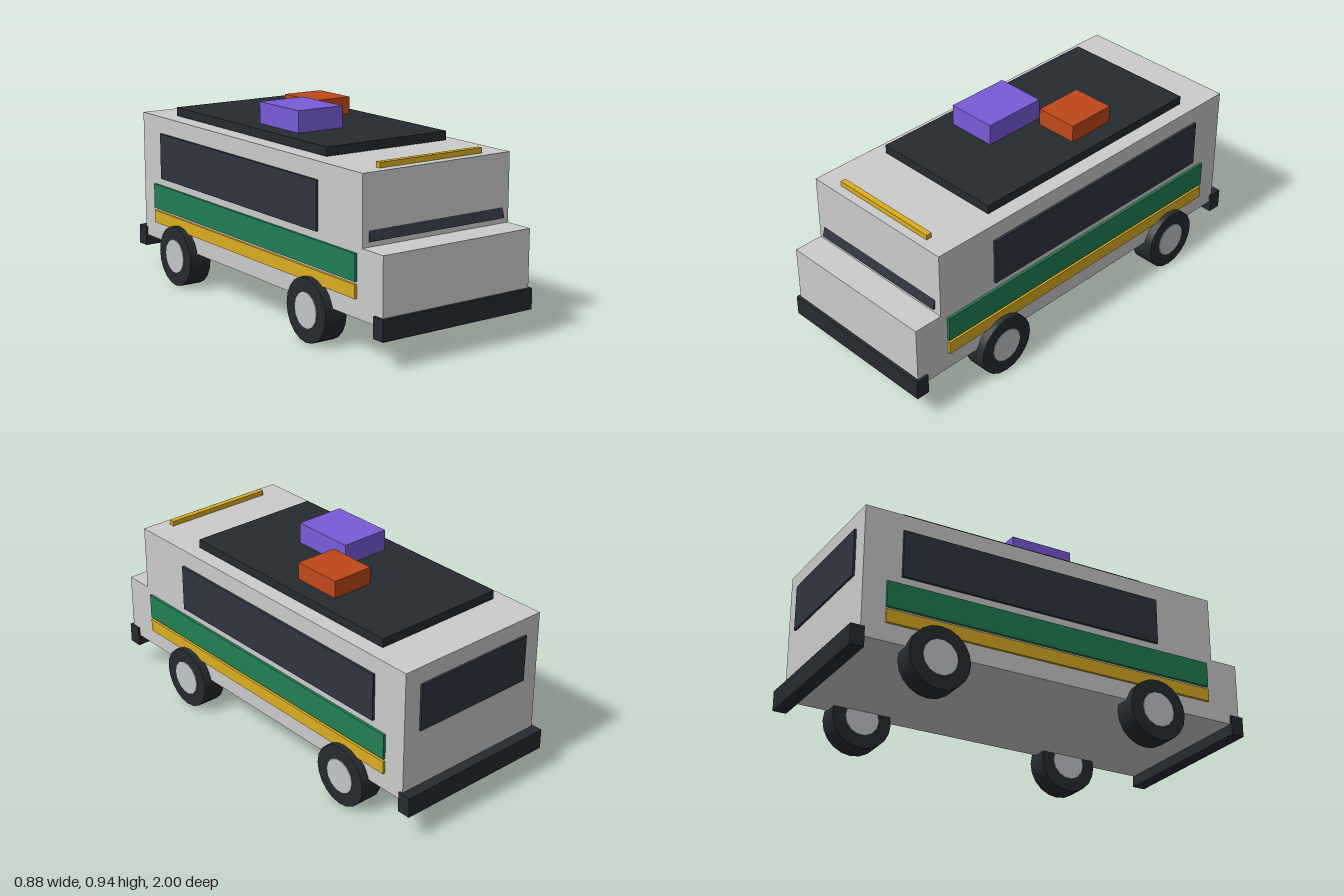
import * as THREE from 'three';

const mat = (color) => new THREE.MeshStandardMaterial({ color });
const GREY = mat(0xcccccc), DARK = mat(0x262b2f), GLASS = mat(0x2f3440);
const GREEN = mat(0x217f55), YELLOW = mat(0xdcae22), PURPLE = mat(0x7a5bd8), ORANGE = mat(0xc0481a);
const HUB = mat(0xc2c6ca);

export function createModel() {
  const van = new THREE.Group();
  van.name = 'van';

  // Box given by its extents along x, y and z
  const box = (name, material, [x0, x1], [y0, y1], [z0, z1]) => {
    const mesh = new THREE.Mesh(new THREE.BoxGeometry(x1 - x0, y1 - y0, z1 - z0), material);
    mesh.position.set((x0 + x1) / 2, (y0 + y1) / 2, (z0 + z1) / 2);
    mesh.name = name;
    van.add(mesh);
    return mesh;
  };

  // Body shell and short hood
  box('body', GREY, [-0.395, 0.395], [0.18, 0.797], [-0.95, 0.845]);
  box('hood', GREY, [-0.395, 0.395], [0.18, 0.485], [0.845, 0.985]);

  // Bumpers
  box('frontBumper', DARK, [-0.405, 0.405], [0.127, 0.222], [0.935, 1]);
  box('rearBumper', DARK, [-0.405, 0.405], [0.127, 0.222], [-1, -0.935]);

  // Leaning windshield, its upper part sunk into the body
  const glass = new THREE.BoxGeometry(0.724, 0.24, 0.02).translate(0, 0.12, -0.01);
  const windshield = new THREE.Mesh(glass, GLASS);
  windshield.position.set(0, 0.51, 0.858);
  windshield.rotation.x = -0.28;
  windshield.name = 'windshield';
  van.add(windshield);

  box('rearWindow', GLASS, [-0.31, 0.31], [0.495, 0.717], [-0.96, -0.94]);

  // Side windows, stripes and wheels, mirrored
  for (const [side, s] of [['left', 1], ['right', -1]]) {
    const across = s > 0 ? [0.385, 0.407] : [-0.407, -0.385];
    box(side + 'Window', GLASS, across, [0.495, 0.717], [-0.77, 0.535]);
    box(side + 'UpperStripe', GREEN, across, [0.338, 0.458], [-0.84, 0.81]);
    box(side + 'LowerStripe', YELLOW, across, [0.265, 0.326], [-0.84, 0.81]);

    for (const [end, z] of [['Front', 0.5], ['Rear', -0.6]]) {
      const wheel = new THREE.Group();
      wheel.name = side + end + 'Wheel';
      const tire = new THREE.Mesh(new THREE.CylinderGeometry(0.145, 0.145, 0.11, 20), DARK);
      tire.name = 'tire';
      const hub = new THREE.Mesh(new THREE.CylinderGeometry(0.082, 0.082, 0.117, 14), HUB);
      hub.name = 'hub';
      wheel.add(tire, hub);
      wheel.rotation.z = Math.PI / 2;
      wheel.position.set(s * 0.38, 0.146, z);
      van.add(wheel);
    }
  }

  // Roof rack, light bar and luggage
  box('roofRack', DARK, [-0.327, 0.327], [0.802, 0.843], [-0.74, 0.5]);
  box('lightBar', YELLOW, [-0.275, 0.275], [0.796, 0.821], [0.775, 0.802]);
  box('largeCase', PURPLE, [-0.242, -0.002], [0.843, 0.943], [-0.14, 0.17]);
  box('smallCase', ORANGE, [0.035, 0.24], [0.843, 0.925], [-0.345, -0.105]);

  return van;
}
